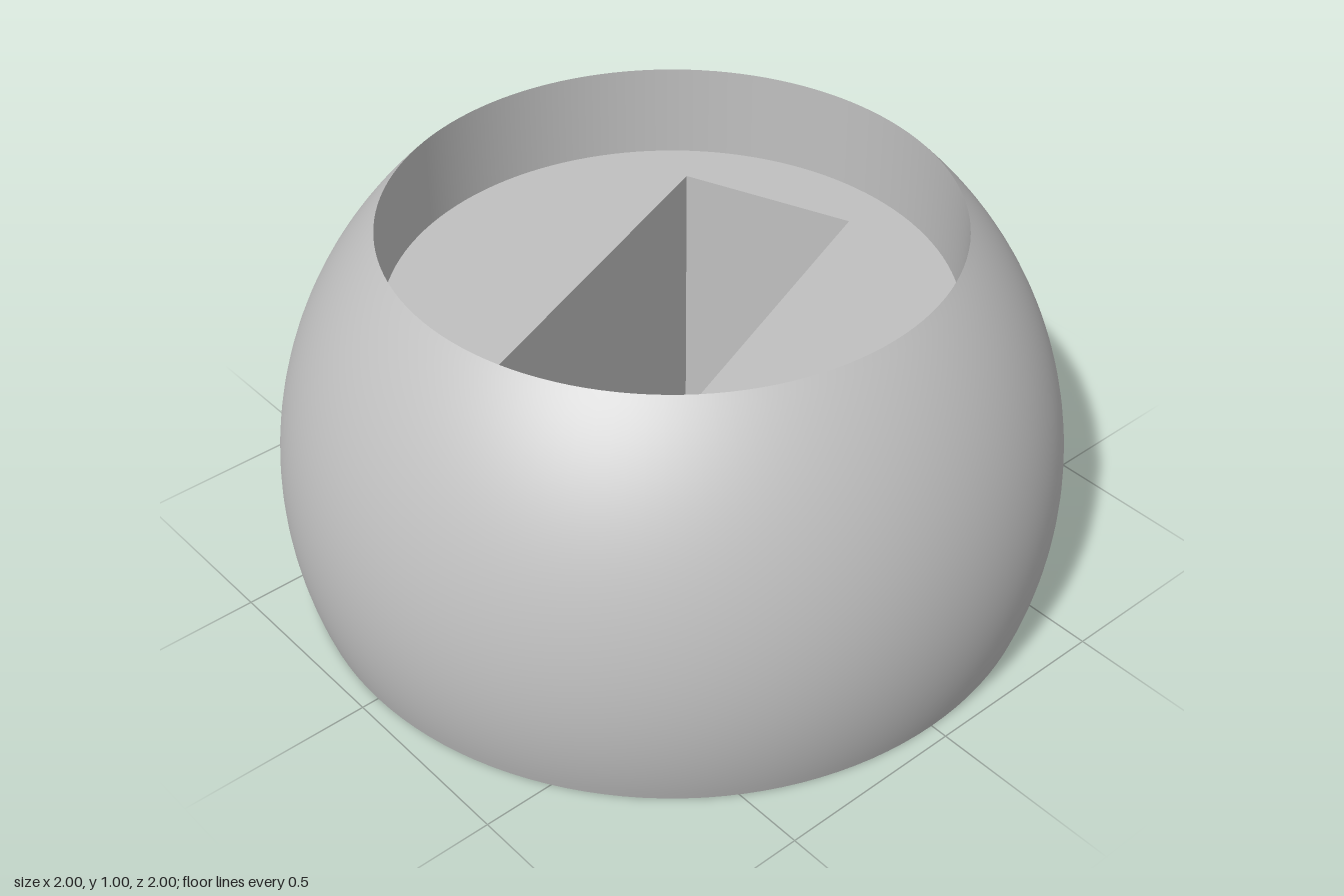
import * as THREE from 'three';

const R = 1, CENTER_Y = 0.3, TOP = 1, FLOOR = 0.75;   // truncated ball and its recess
const SLOT_L = 1.066, SLOT_W = 0.476, SLOT_ANGLE = THREE.MathUtils.degToRad(21);
const SEGMENTS = 128;

const radiusAt = (y) => Math.sqrt(R * R - (y - CENTER_Y) ** 2);

// Flat disc with the slanted rectangular slot cut out, facing up
function slottedDisc(radius) {
  const shape = new THREE.Shape().absarc(0, 0, radius, 0, Math.PI * 2);
  const corners = [[-1, -1], [-1, 1], [1, 1], [1, -1]].map(([x, y]) =>
    new THREE.Vector2(x * SLOT_L / 2, y * SLOT_W / 2).rotateAround(new THREE.Vector2(), SLOT_ANGLE));
  shape.holes.push(new THREE.Path(corners));
  return new THREE.ShapeGeometry(shape, SEGMENTS).rotateX(-Math.PI / 2);
}

export function createModel() {
  const model = new THREE.Group();
  model.name = 'slottedBall';
  const grey = new THREE.MeshStandardMaterial({ color: 0xc0c0c0 });
  grey.name = 'grey';

  const add = (name, geometry, parent = model) => {
    const mesh = new THREE.Mesh(geometry, grey);
    mesh.name = name;
    parent.add(mesh);
    return mesh;
  };

  // Spherical outside, from the base up to the rim
  const a0 = Math.asin(-CENTER_Y / R), a1 = Math.asin((TOP - CENTER_Y) / R);
  const profile = [];
  for (let i = 0; i <= 40; i++) {
    const a = a0 + (a1 - a0) * i / 40;
    profile.push(new THREE.Vector2(R * Math.cos(a), CENTER_Y + R * Math.sin(a)));
  }
  add('outerShell', new THREE.LatheGeometry(profile, SEGMENTS));

  // Round recess: inward-facing wall and slotted floor
  const rim = radiusAt(TOP);
  add('recessWall', new THREE.LatheGeometry(
    [new THREE.Vector2(rim, TOP), new THREE.Vector2(rim, FLOOR)], SEGMENTS));
  add('recessFloor', slottedDisc(rim)).position.y = FLOOR;

  // Underside: the disc turned about its length, with the slot mirrored back into line
  const base = slottedDisc(radiusAt(0)).rotateX(Math.PI).rotateY(2 * SLOT_ANGLE);
  add('base', base);

  // Four inward-facing walls of the through slot
  const slot = new THREE.Group();
  slot.name = 'slot';
  slot.rotation.y = SLOT_ANGLE;
  for (let i = 0; i < 4; i++) {
    const [width, depth] = i % 2 ? [SLOT_W, SLOT_L] : [SLOT_L, SLOT_W];
    add('slotWall', new THREE.PlaneGeometry(width, FLOOR)
      .translate(0, FLOOR / 2, -depth / 2).rotateY(i * Math.PI / 2), slot);
  }
  model.add(slot);
  return model;
}
